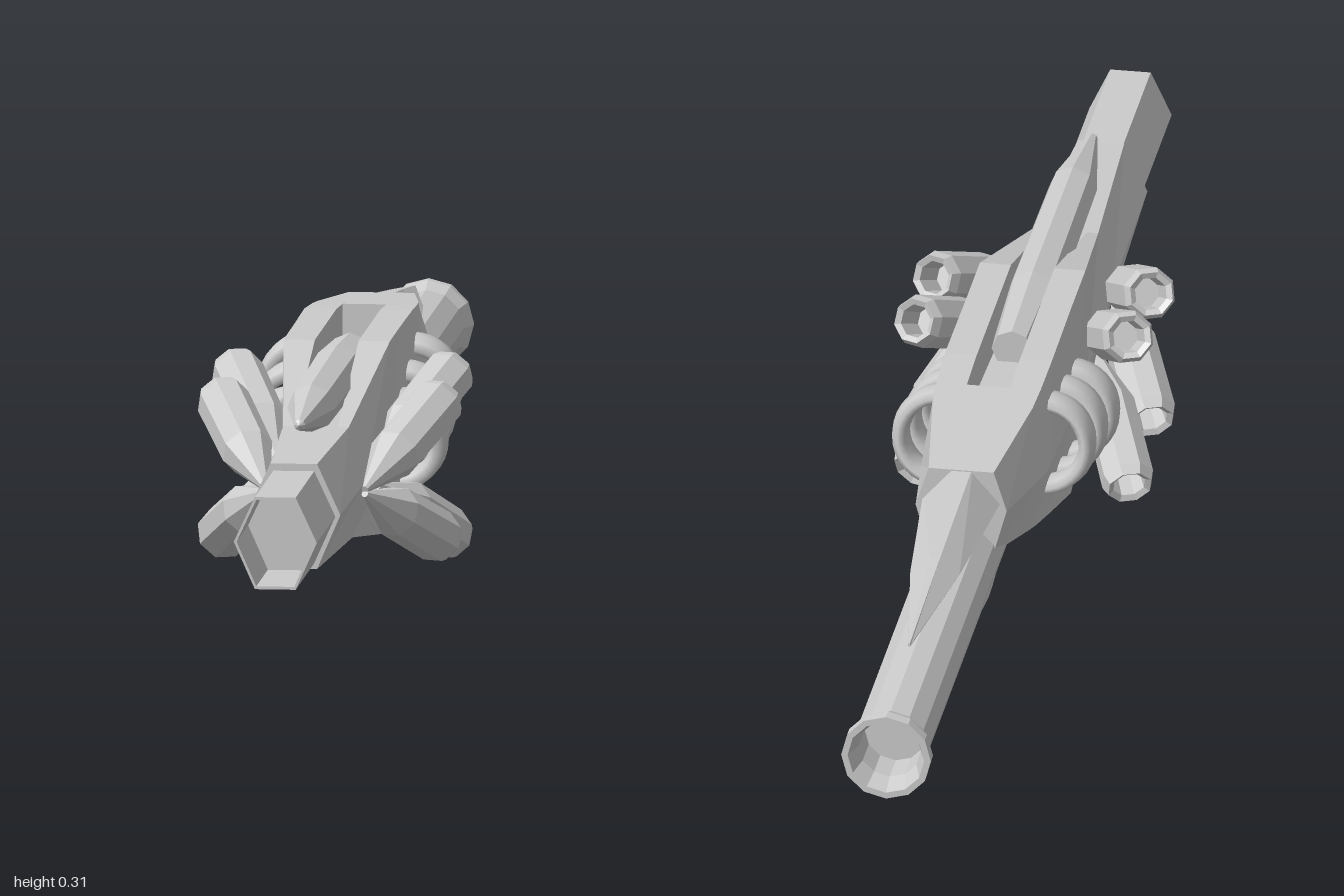
import * as THREE from 'three';

const flat = new THREE.MeshStandardMaterial({ color: 0xcccccc, flatShading: true });
const smooth = new THREE.MeshStandardMaterial({ color: 0xcccccc });

function add(parent, name, geometry, material = flat) {
  const mesh = new THREE.Mesh(geometry, material);
  mesh.name = name;
  parent.add(mesh);
  return mesh;
}

// Skin between cross-sections {z, pts}; pts run counter-clockwise seen from +z.
function loft(sections) {
  const pos = [];
  const tri = (...corners) => corners.forEach((c) => pos.push(...c));
  const rings = sections.map((s) => s.pts.map(([x, y]) => [x, y, s.z]));
  const n = rings[0].length;
  for (let i = 0; i < rings.length - 1; i++) {
    for (let j = 0; j < n; j++) {
      const k = (j + 1) % n, a = rings[i], b = rings[i + 1];
      tri(a[j], b[j], b[k]);
      tri(a[j], b[k], a[k]);
    }
  }
  const centre = (r) => [0, 1, 2].map((c) => r.reduce((sum, p) => sum + p[c], 0) / n);
  const first = rings[0], last = rings[rings.length - 1];
  for (let j = 0; j < n; j++) {
    const k = (j + 1) % n;
    tri(centre(first), first[j], first[k]);
    tri(centre(last), last[k], last[j]);
  }
  const g = new THREE.BufferGeometry();
  g.setAttribute('position', new THREE.Float32BufferAttribute(pos, 3));
  g.computeVertexNormals();
  return g;
}

// Six-sided section: top, middle and bottom half widths and heights
const hex = (z, top, tw, mid, mw, bot, bw) => ({
  z, pts: [[tw, top], [-tw, top], [-mw, mid], [-bw, bot], [bw, bot], [mw, mid]],
});

// Hull section: a hexagon with a slot cut down into its top
const hull = (z, top, tw, mid, mw, bot, bw, floor = top, s = 0.03) => ({
  z, pts: [[tw, top], [s, top], [s, floor], [-s, floor], [-s, top], [-tw, top],
    [-mw, mid], [-bw, bot], [bw, bot], [mw, mid]],
});

const lathe = (points, sides) =>
  new THREE.LatheGeometry(points.map(([r, y]) => new THREE.Vector2(r, y)), sides);

export function createModel() {
  const model = new THREE.Group();
  model.name = 'model';

  // Main hull
  add(model, 'hull', loft([
    hull(0.76, 0.235, 0.032, 0.165, 0.064, 0.09, 0.032),
    hull(0.47, 0.242, 0.045, 0.165, 0.066, 0.09, 0.05),
    hull(0.2, 0.32, 0.073, 0.165, 0.075, 0.055, 0.07, 0.255),
    hull(0.08, 0.32, 0.073, 0.17, 0.079, 0.04, 0.073, 0.255),
    hull(-0.08, 0.32, 0.074, 0.19, 0.083, 0.087, 0.07, 0.265),
    hull(-0.16, 0.315, 0.072, 0.2, 0.085, 0.11, 0.067, 0.265),
    hull(-0.161, 0.315, 0.072, 0.2, 0.085, 0.11, 0.067),
    hull(-0.21, 0.311, 0.069, 0.21, 0.085, 0.125, 0.064),
    hull(-0.385, 0.297, 0.045, 0.24, 0.063, 0.175, 0.045),
  ]));

  // Hollow six-sided front barrel: inner floor, inner rim, outer rim, back end
  add(model, 'frontBarrel', loft([
    hex(0.85, 0.221, 0.026, 0.163, 0.053, 0.102, 0.026),
    hex(1, 0.221, 0.026, 0.163, 0.053, 0.102, 0.026),
    hex(1, 0.225, 0.028, 0.163, 0.057, 0.098, 0.028),
    hex(0.74, 0.225, 0.028, 0.163, 0.057, 0.098, 0.028),
  ]));

  // Round rear barrel with flared, hollow end
  const rear = add(model, 'rearBarrel', lathe([
    [0, 0], [0.052, 0], [0.052, 0.86], [0.062, 0.882], [0.062, 0.9],
    [0.053, 0.9], [0.043, 0.87], [0.043, 0.82], [0, 0.82],
  ], 12));
  rear.rotation.x = -Math.PI / 2;
  rear.position.set(0, 0.161, -0.1);

  // Tapering fin over the rear barrel
  add(model, 'rearSpike', loft([
    hex(-0.37, 0.297, 0.014, 0.25, 0.055, 0.2, 0.03),
    hex(-0.6, 0.269, 0.007, 0.246, 0.034, 0.219, 0.016),
    hex(-0.81, 0.242, 0.001, 0.24, 0.002, 0.237, 0.001),
  ]));

  // Eight-sided spike lying in the top slot
  const spike = add(model, 'topSpike', lathe([
    [0, 0], [0.028, 0], [0.036, 0.17], [0.033, 0.5], [0.008, 0.655], [0, 0.66],
  ], 8));
  spike.rotation.x = Math.PI / 2;
  spike.position.set(0, 0.277, 0.03);

  // Looped pipe under the hull
  const path = new THREE.CatmullRomCurve3([
    [0.04, 0.075], [-0.05, 0.06], [-0.16, 0.052], [-0.26, 0.042],
    [-0.32, 0.062], [-0.345, 0.095], [-0.33, 0.14],
  ].map(([z, y]) => new THREE.Vector3(0, y, z)));
  add(model, 'underPipe', new THREE.TubeGeometry(path, 32, 0.016, 8), smooth);

  // Side fittings, built on the left and mirrored to the right
  const podShape = lathe([
    [0, 0], [0.005, 0], [0.036, 0.095], [0.037, 0.225], [0.031, 0.24],
    [0.023, 0.235], [0.021, 0.19], [0, 0.19],
  ], 8);
  const ringShape = new THREE.TorusGeometry(0.059, 0.012, 8, 16, Math.PI);
  ringShape.rotateZ(-Math.PI / 2).scale(1, 1, 2.8);
  const up = new THREE.Vector3(0, 1, 0);
  for (const side of [1, -1]) {
    const group = new THREE.Group();
    group.name = side > 0 ? 'leftFittings' : 'rightFittings';
    group.scale.x = side;
    model.add(group);

    // Hollow pods splayed outward and back: [tip], [open end]
    for (const [tip, end] of [
      [[0.068, 0.158, 0.48], [0.152, 0.254, 0.275]],
      [[0.068, 0.152, 0.48], [0.152, 0.06, 0.275]],
      [[0.068, 0.17, 0.315], [0.15, 0.269, 0.11]],
      [[0.068, 0.138, 0.315], [0.15, 0.038, 0.11]],
    ]) {
      const pod = add(group, 'pod', podShape);
      const start = new THREE.Vector3(...tip);
      const dir = new THREE.Vector3(...end).sub(start).normalize();
      pod.position.copy(start);
      pod.quaternion.setFromUnitVectors(up, dir);
    }

    // Three half hoops climbing toward the back
    for (let i = 0; i < 3; i++) {
      const ring = add(group, 'sideHoop', ringShape, smooth);
      ring.position.set(0.07, 0.167 + i * 0.023, 0.08 - i * 0.097);
      ring.rotation.x = 0.17;
    }
  }
  return model;
}
